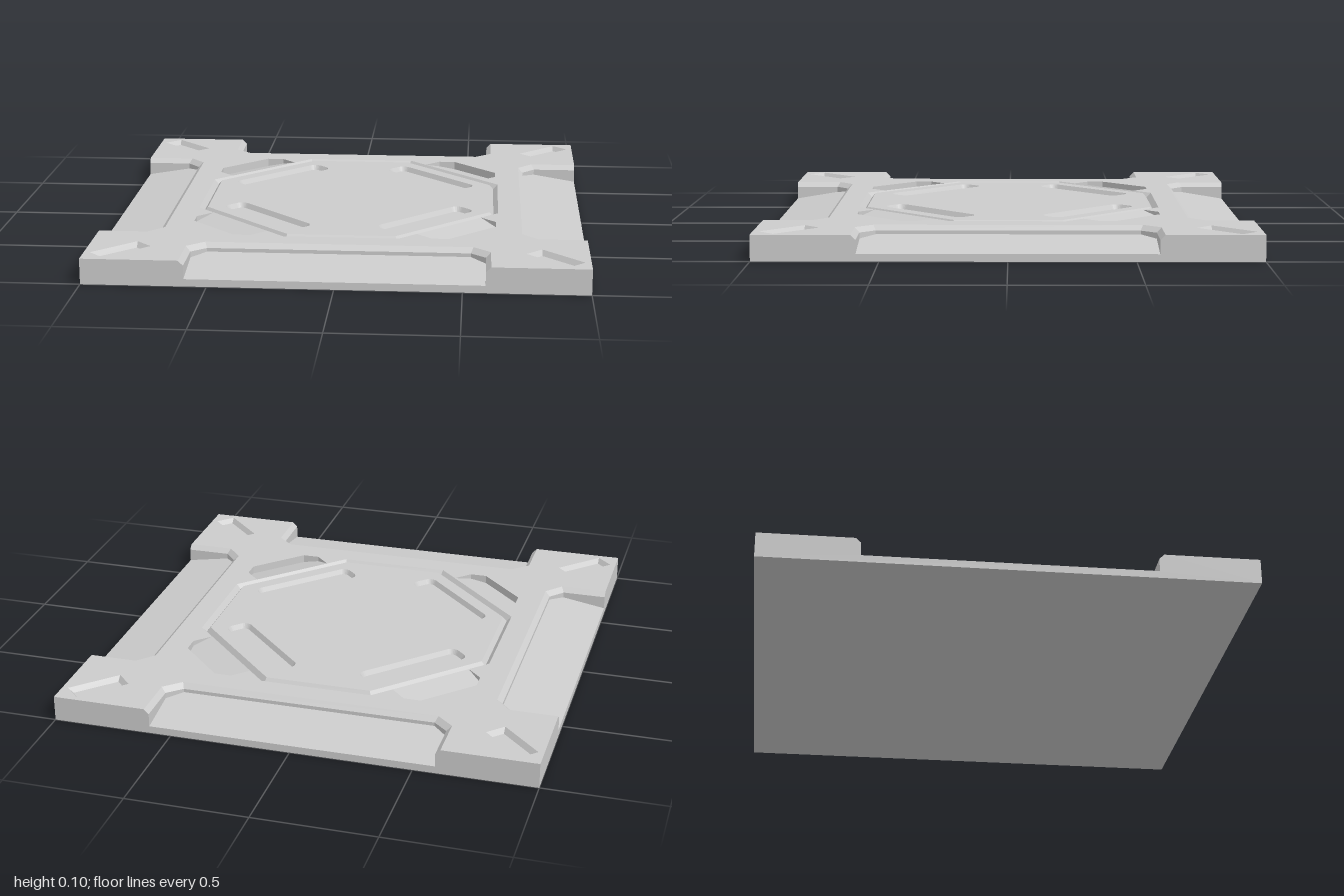
import * as THREE from 'three';

const H = 0.105, S = Math.SQRT1_2;
const material = new THREE.MeshStandardMaterial({ color: 0xcccccc, flatShading: true });

// All loops are [x, z], counter-clockwise seen from above.
const diag = ([d, t]) => [S * (d + t), S * (d - t)];
const turn = ([x, z], k) => (k ? turn([z, -x], k - 1) : [x, z]);
const around = (pts) => [0, 1, 2, 3].flatMap((k) => pts.map((p) => turn(p, k)));
const scaled = (pts, f) => pts.map(([x, z]) => [x * f, z * f]);
const height = (y, p) => (typeof y === 'function' ? y(p) : y);

function mesh(name, geometry) {
  const m = new THREE.Mesh(geometry, material);
  m.name = name;
  return m;
}

// Upward-facing panel, flat or sloped by a height rule
function panel(name, pts, y, holes = []) {
  const vec = (p) => p.map(([x, z]) => new THREE.Vector2(x, -z));
  const shape = new THREE.Shape(vec(pts));
  holes.forEach((h) => shape.holes.push(new THREE.Path(vec(h))));
  const g = new THREE.ShapeGeometry(shape).rotateX(-Math.PI / 2);
  const pos = g.attributes.position;
  for (let i = 0; i < pos.count; i++) pos.setY(i, height(y, [pos.getX(i), pos.getZ(i)]));
  g.computeVertexNormals();
  return mesh(name, g);
}

// Strip joining loop a to loop b, facing the inside of the loop
function wall(name, a, ya, b, yb, closed = true) {
  const out = [];
  const v = (p, y) => [p[0], height(y, p), p[1]];
  for (let i = 0; i < a.length - (closed ? 0 : 1); i++) {
    const j = (i + 1) % a.length;
    const [p, q, r, s] = [v(a[i], ya), v(a[j], ya), v(b[j], yb), v(b[i], yb)];
    out.push(...p, ...q, ...r, ...p, ...r, ...s);
  }
  const g = new THREE.BufferGeometry();
  g.setAttribute('position', new THREE.Float32BufferAttribute(out, 3));
  g.computeVertexNormals();
  return mesh(name, g);
}

// Rounded rectangle on the diagonal: centre distance d, half sizes hd and ht, radius r
function slotLoop(d, hd, ht, r, steps) {
  const pts = [];
  [[1, -1], [1, 1], [-1, 1], [-1, -1]].forEach(([sd, st], c) => {
    for (let i = 0; i <= steps; i++) {
      const a = (c - 1 + (steps ? i / steps : 0)) * Math.PI / 2;
      const rd = steps ? r * Math.cos(a) : 0, rt = steps ? r * Math.sin(a) : 0;
      pts.push(diag([d + sd * (hd - r) + rd, st * (ht - r) + rt]));
    }
  });
  return pts;
}

// Sunken slot with sloping sides
function slot(name, outer, inner, depth) {
  const g = new THREE.Group();
  g.name = name;
  g.add(wall(name + 'Sides', outer, H, inner, H - depth), panel(name + 'Floor', inner, H - depth));
  return g;
}

export function createModel() {
  const model = new THREE.Group();
  model.name = 'floorTile';

  // Outlines of one quarter
  const octD = 0.875 * S;
  const octagon = around([[0.235, 0.64], [0.64, 0.235]]);
  const pocket = [[octD, -0.184], [0.707, -0.184], [0.757, -0.134],
    [0.757, 0.134], [0.707, 0.184], [octD, 0.184]].map(diag);
  const recessTop = [[0.61, 1], [0.61, 0.8], [0.54, 0.737], [-0.54, 0.737], [-0.61, 0.8], [-0.61, 1]];
  const recessLow = [[0.59, 1], [0.59, 0.812], [0.53, 0.758], [-0.53, 0.758], [-0.59, 0.812], [-0.59, 1]];
  const cornerOuter = slotLoop(1.22, 0.115, 0.045, 0, 0);
  const cornerInner = slotLoop(1.22, 0.099, 0.029, 0, 0);
  const plateOuter = slotLoop(0.474, 0.055, 0.238, 0.035, 6);
  const plateInner = slotLoop(0.474, 0.043, 0.226, 0.025, 6);

  // Top deck with its cut-outs, and the underside
  const outline = around([...[...recessTop].reverse(), [1, 1]]);
  const opening = around([[0.235, 0.64], ...pocket, [0.64, 0.235]]);
  const turned = (loop) => [0, 1, 2, 3].map((k) => loop.map((p) => turn(p, k)));
  model.add(panel('topDeck', outline, H, [opening, ...turned(cornerOuter)]));
  model.add(mesh('underside', new THREE.PlaneGeometry(2, 2).rotateX(Math.PI / 2)));

  // Octagonal groove and centre plate
  const grooveBottom = scaled(octagon, 0.97), plateEdge = scaled(octagon, 0.945);
  model.add(wall('grooveOuterSlope', octagon, H, grooveBottom, H - 0.02));
  model.add(wall('grooveInnerSlope', grooveBottom, H - 0.02, plateEdge, H));
  model.add(panel('centrePlate', plateEdge, H, turned(plateOuter)));

  const recessY = ([, z]) => 0.07 - 0.04 * (z - 0.758) / 0.242;
  const pocketY = ([x, z]) => H - 0.035 * ((x + z) * S - octD) / (0.757 - octD);
  for (let k = 0; k < 4; k++) {
    const quarter = new THREE.Group();
    quarter.name = 'quarter' + (k + 1);
    quarter.rotation.y = k * Math.PI / 2;

    // Outer side with the notch of the edge recess
    const half = [[1, 0], [1, H], [0.61, H], [0.59, 0.085], [0.59, 0.03]];
    const profile = [...half, ...half.map(([x, y]) => [-x, y]).reverse()];
    const side = new THREE.Shape(profile.map(([x, y]) => new THREE.Vector2(x, y)));
    quarter.add(mesh('outerSide', new THREE.ShapeGeometry(side).translate(0, 0, 1)));

    // Edge recess: bevel, upright wall, sloping floor
    quarter.add(wall('recessBevel', recessTop, H, recessLow, 0.085, false));
    quarter.add(wall('recessWall', recessLow, 0.085, recessLow, recessY, false));
    quarter.add(panel('recessFloor', recessLow, recessY));

    // Wedge-shaped pocket beside the octagon
    quarter.add(wall('pocketWall', pocket, H, pocket, pocketY, false));
    quarter.add(panel('pocketFloor', pocket, pocketY));

    // Slots in the corner and in the centre plate
    quarter.add(slot('cornerSlot', cornerOuter, cornerInner, 0.02));
    quarter.add(slot('plateSlot', plateOuter, plateInner, 0.02));
    model.add(quarter);
  }
  return model;
}
